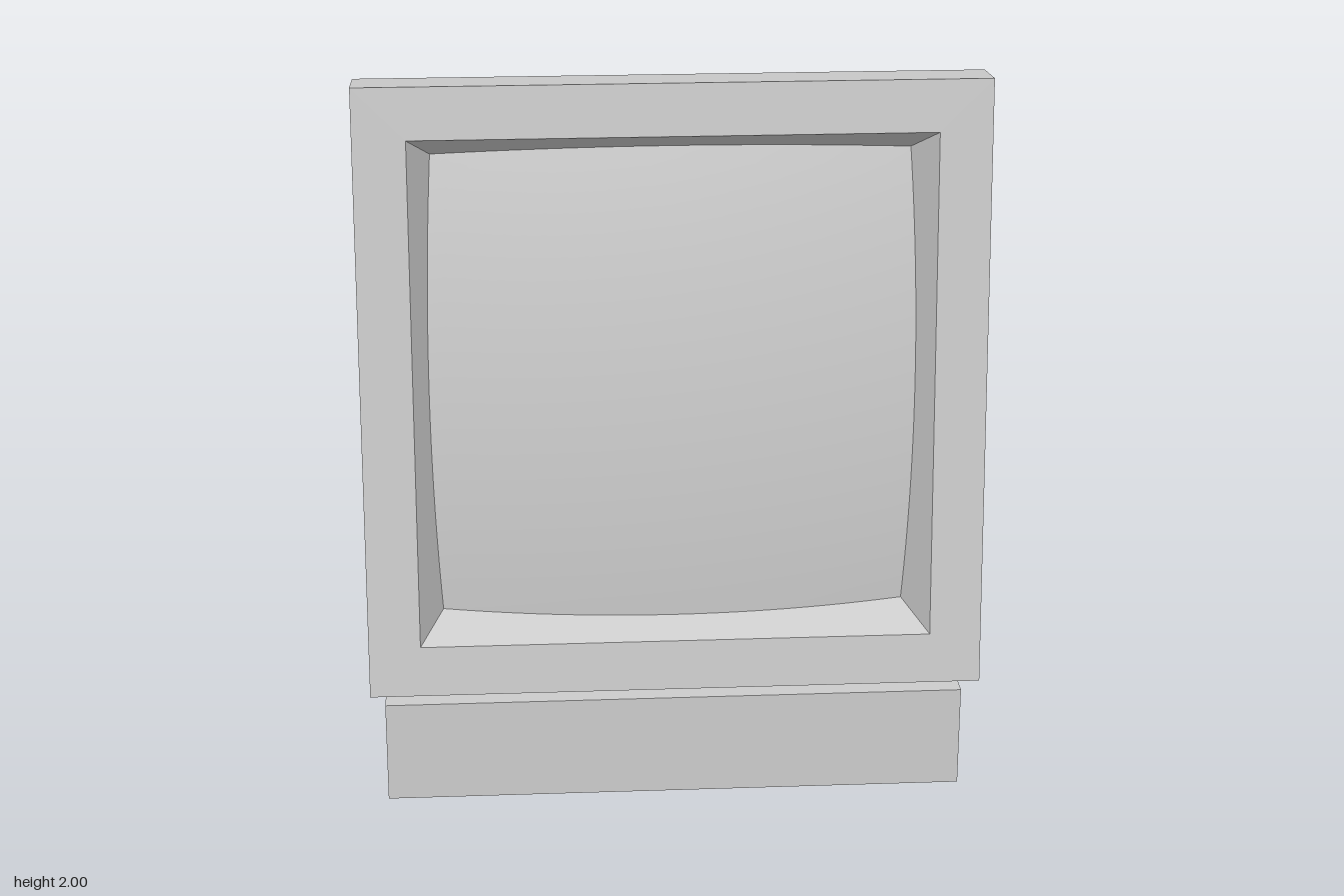
import * as THREE from 'three';
import { toCreasedNormals } from 'three/addons/utils/BufferGeometryUtils.js';

const TILT = 0.0937; // backward lean of the display
const material = new THREE.MeshStandardMaterial({ color: 0xcccccc });

function addMesh(parent, name, geometry, mat = material) {
  const mesh = new THREE.Mesh(geometry, mat);
  mesh.name = name;
  parent.add(mesh);
  return mesh;
}

function addBox(parent, name, x0, x1, y0, y1, z0, z1) {
  addMesh(parent, name, new THREE.BoxGeometry(x1 - x0, y1 - y0, z1 - z0))
    .position.set((x0 + x1) / 2, (y0 + y1) / 2, (z0 + z1) / 2);
}

// Square frame with an opening that narrows inwards; front face at z = 0
function frameGeometry() {
  const k = Math.SQRT2;
  const profile = [[0, -0.15], [0.829, -0.15], [0.829, 0], [0.69, 0], [0.622, -0.145]]
    .map(([r, d]) => new THREE.Vector2(r * k, d));
  const geometry = new THREE.LatheGeometry(profile, 4, Math.PI / 4);
  geometry.rotateX(Math.PI / 2);
  return toCreasedNormals(geometry, 0.1);
}

// Bulging glass whose border follows the sloping walls of the opening
function screenGeometry() {
  const geometry = new THREE.PlaneGeometry(2, 2, 24, 24);
  const pos = geometry.attributes.position;
  for (let i = 0; i < pos.count; i++) {
    const u = pos.getX(i), v = pos.getY(i);
    let x = 0, y = 0, depth = 0.1;
    for (let k = 0; k < 5; k++) {
      const half = 0.69 - 0.47 * depth;
      x = u * half;
      y = v * half;
      depth = 0.038 + (x * x + (y - 0.04) ** 2) / 9;
    }
    pos.setXYZ(i, x, y, -depth);
  }
  geometry.computeVertexNormals();
  return geometry;
}

// Cross-section of the housing: square below, rounded at the two upper corners
function section(halfWidth, bottom, top, radius, zAtBottom) {
  const points = [[-halfWidth, bottom], [halfWidth, bottom]];
  for (const side of [0, 1]) {
    const cx = (side ? -1 : 1) * (halfWidth - radius);
    for (let i = 0; i <= 6; i++) {
      const a = (side + i / 6) * Math.PI / 2;
      points.push([cx + radius * Math.cos(a), top - radius + radius * Math.sin(a)]);
    }
  }
  return points.map(([x, y]) => [x, y, zAtBottom - Math.tan(TILT) * (y - 0.415)]);
}

// Tapered housing with a rounded rim around its back
function housingGeometry() {
  const r = 0.045, zFront = 0.738, zBack = -0.775;
  const rings = [section(0.772, 0.41, 1.91, 0.05, zFront)];
  for (let i = 0; i <= 6; i++) {
    const a = i / 6 * Math.PI / 2;
    const inset = r * (1 - Math.cos(a));
    rings.push(section(0.622 - inset, 0.415, 1.622 - inset, 0.05 - inset * 0.6,
      zBack + r * (1 - Math.sin(a))));
  }
  const n = rings[0].length, index = [];
  for (let i = 0; i < rings.length - 1; i++) {
    for (let j = 0; j < n; j++) {
      const a = i * n + j, b = i * n + (j + 1) % n;
      index.push(a, a + n, b, b, a + n, b + n);
    }
  }
  // Back cap
  const last = (rings.length - 1) * n;
  for (let j = 1; j < n - 1; j++) index.push(last, last + j + 1, last + j);
  const geometry = new THREE.BufferGeometry();
  geometry.setAttribute('position', new THREE.Float32BufferAttribute(rings.flat(2), 3));
  geometry.setIndex(index);
  return toCreasedNormals(geometry, 0.6);
}

export function createModel() {
  const model = new THREE.Group();
  model.name = 'monitor';

  // Stand
  addBox(model, 'base', -0.793, 0.793, 0, 0.287, -0.865, 0.825);
  addBox(model, 'neck', -0.485, 0.485, 0.287, 0.42, -0.535, 0.5);

  // Housing
  addMesh(model, 'housing', housingGeometry());

  // Tilted front with its screen
  const front = new THREE.Group();
  front.name = 'display';
  front.position.set(0, 1.175, 0.8175);
  front.rotation.x = -TILT;
  addMesh(front, 'bezel', frameGeometry());
  const glass = material.clone();
  glass.side = THREE.DoubleSide;
  addMesh(front, 'screen', screenGeometry(), glass);
  model.add(front);

  return model;
}
